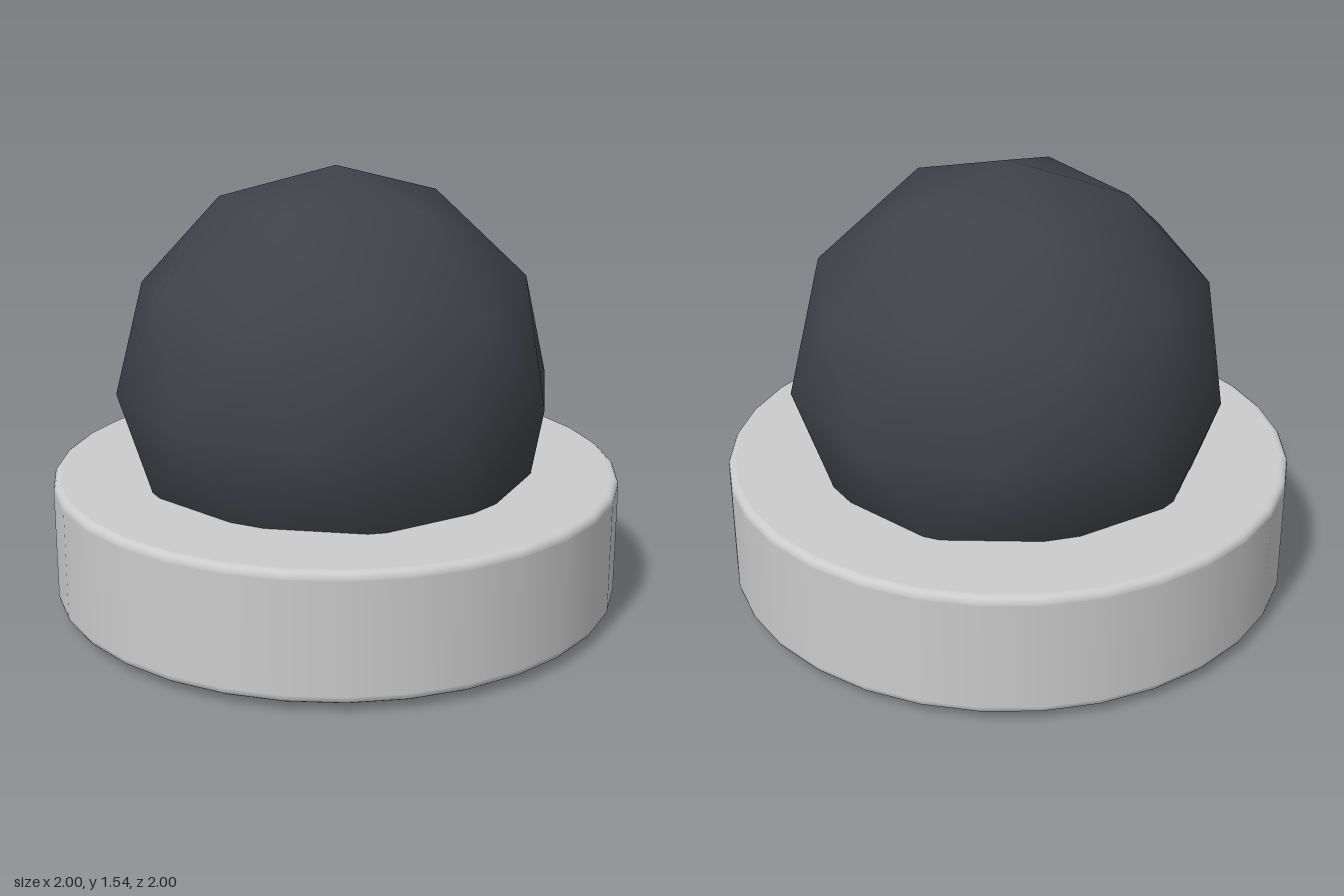
import * as THREE from 'three';

export function createModel() {
  const model = new THREE.Group();

  // Round base with small rounded rims
  const bottom = 0.03, top = 0.47, radius = 1, bevel = 0.025, steps = 4;
  const profile = [new THREE.Vector2(0, bottom), new THREE.Vector2(radius - bevel - 0.003, bottom)];
  const addRim = (centerY, startAngle) => {
    for (let i = 0; i <= steps; i++) {
      const a = startAngle + (i / steps) * Math.PI / 2;
      profile.push(new THREE.Vector2(radius - bevel + bevel * Math.cos(a), centerY + bevel * Math.sin(a)));
    }
  };
  addRim(bottom + bevel, -Math.PI / 2);
  // Extra points beside the rims keep the wall and faces flat in shading
  profile.push(new THREE.Vector2(radius, bottom + bevel + 0.003));
  profile.push(new THREE.Vector2(radius, top - bevel - 0.003));
  addRim(top - bevel, 0);
  profile.push(new THREE.Vector2(radius - bevel - 0.003, top), new THREE.Vector2(0, top));
  const base = new THREE.Mesh(
    new THREE.LatheGeometry(profile, 32),
    new THREE.MeshStandardMaterial({ color: 0xcccccc })
  );
  base.name = 'base';
  model.add(base);

  // Faceted ball with a corner pointing straight up, its tip just below the base
  const ballRadius = 0.77;
  const ballGeometry = new THREE.IcosahedronGeometry(ballRadius, 1);
  ballGeometry.rotateZ(-Math.atan(2 / (1 + Math.sqrt(5))));
  const ball = new THREE.Mesh(ballGeometry, new THREE.MeshStandardMaterial({ color: 0x404248 }));
  ball.name = 'ball';
  ball.position.y = ballRadius;
  model.add(ball);

  return model;
}
